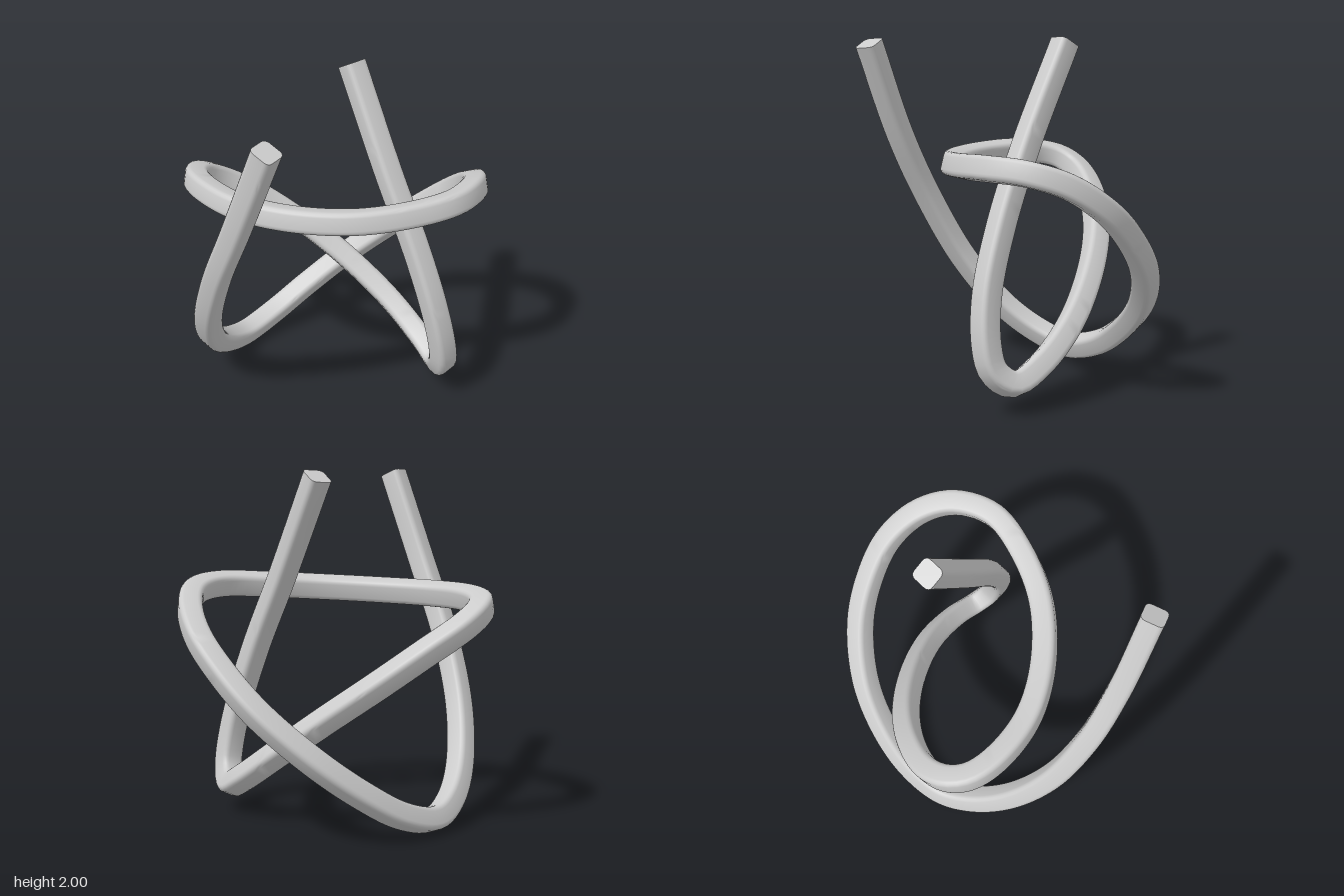
import * as THREE from 'three';
import { toCreasedNormals } from 'three/addons/utils/BufferGeometryUtils.js';

// Rounded square section, turned by an angle
function roundedSquare(half, radius, turn) {
  const points = [];
  const c = half - radius;
  for (let corner = 0; corner < 4; corner++) {
    const mid = Math.PI / 4 + corner * Math.PI / 2;
    const cx = c * Math.sign(Math.cos(mid)), cy = c * Math.sign(Math.sin(mid));
    for (let i = 0; i <= 4; i++) {
      const a = corner * Math.PI / 2 + i * Math.PI / 8;
      points.push(new THREE.Vector2(cx + radius * Math.cos(a), cy + radius * Math.sin(a))
        .rotateAround(new THREE.Vector2(), turn));
    }
  }
  return new THREE.Shape(points);
}

export function createModel() {
  const group = new THREE.Group();
  group.name = 'knottedStar';

  // Centre line of the bar: one open star drawn in space
  const path = new THREE.CatmullRomCurve3([
    // front arm, running down to the lower right-hand point
    [0.03, 1.955, 0.84], [-0.2, 1.4, 0.74], [-0.38, 1.0, 0.625], [-0.53, 0.6, 0.445],
    [-0.61, 0.3, 0.21], [-0.625, 0.14, -0.02], [-0.59, 0.077, -0.22],
    // rear diagonal
    [-0.48, 0.135, -0.43], [-0.32, 0.275, -0.61], [-0.09, 0.48, -0.765], [0.2, 0.73, -0.835],
    [0.43, 0.94, -0.8], [0.61, 1.11, -0.71],
    // upper left-hand point and crossbar
    [0.745, 1.25, -0.54], [0.8, 1.315, -0.34], [0.75, 1.33, -0.11], [0.57, 1.315, 0.075],
    [0.28, 1.295, 0.24], [-0.08, 1.283, 0.308], [-0.4, 1.28, 0.275], [-0.65, 1.28, 0.15],
    // upper right-hand point
    [-0.775, 1.265, 0.02], [-0.802, 1.235, -0.1], [-0.75, 1.165, -0.225],
    // second diagonal
    [-0.59, 1.04, -0.35], [-0.35, 0.86, -0.44], [-0.04, 0.64, -0.47], [0.28, 0.41, -0.43],
    [0.53, 0.235, -0.325],
    // lower left-hand point and rear arm
    [0.665, 0.165, -0.22], [0.725, 0.24, -0.13], [0.727, 0.38, -0.09], [0.67, 0.64, -0.075],
    [0.54, 0.98, -0.11], [0.335, 1.4, -0.19], [0.055, 1.967, -0.34],
  ].map(p => new THREE.Vector3(...p)), false, 'centripetal');

  const geometry = new THREE.ExtrudeGeometry(roundedSquare(0.0665, 0.03, 0.22), {
    steps: 260, extrudePath: path, bevelEnabled: false,
  });
  const bar = new THREE.Mesh(
    toCreasedNormals(geometry, 0.7),
    new THREE.MeshStandardMaterial({ color: 0xcccccc }),
  );
  bar.name = 'starBar';
  group.add(bar);
  return group;
}
